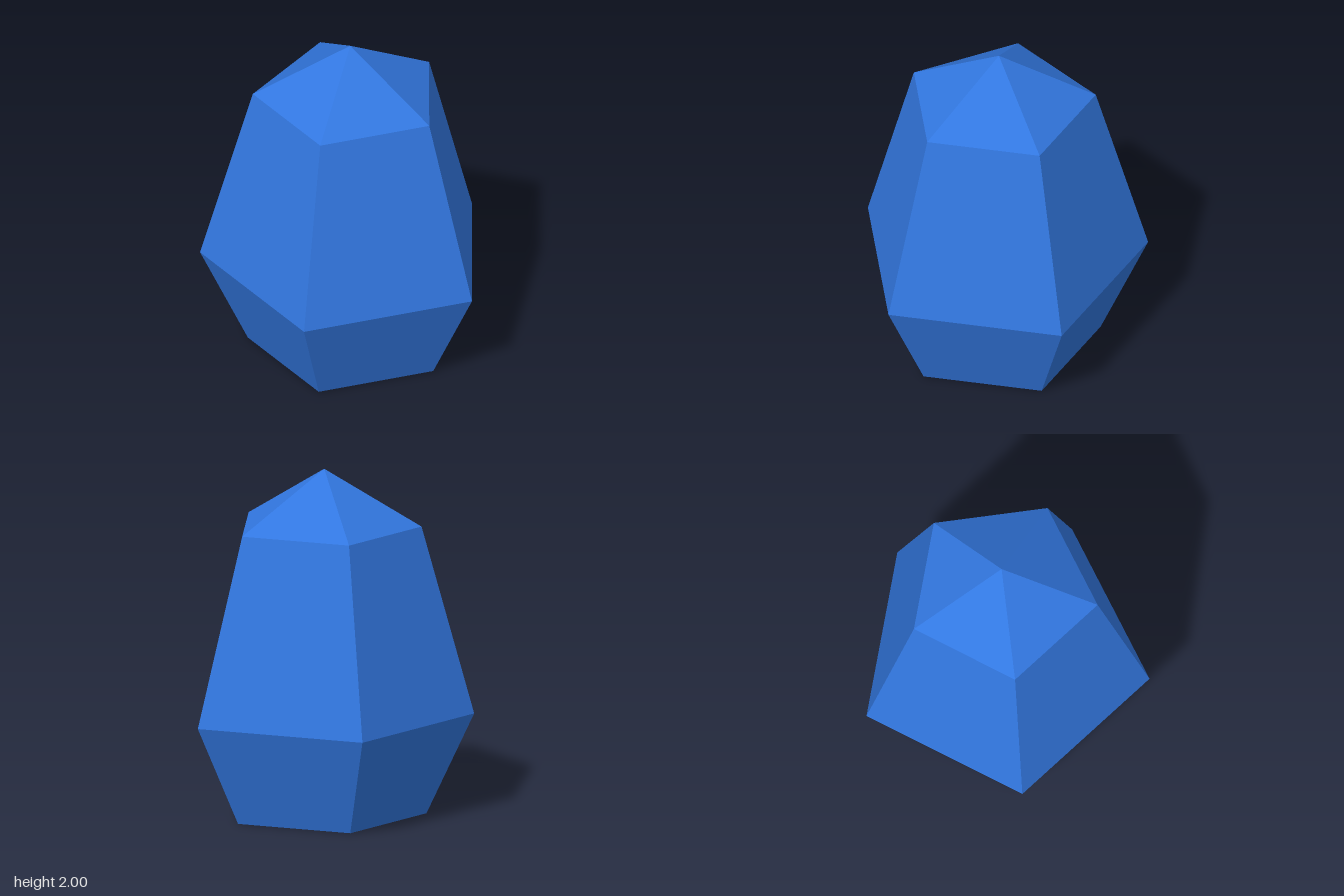
import * as THREE from 'three';

// Five-sided faceted gem: flat base, wide girdle, tapering body, pointed cap.
export function createModel() {
  const group = new THREE.Group();
  group.name = 'crystal';

  const crystalBlue = new THREE.MeshStandardMaterial({ color: 0x3277e0 });
  crystalBlue.name = 'crystalBlue';
  crystalBlue.flatShading = true;

  // Profile of radius and height, from base centre up to the tip
  const profile = [
    [0, 0],
    [0.583, 0],
    [0.855, 0.585],
    [0.555, 1.67],
    [0, 2],
  ].map(([r, y]) => new THREE.Vector2(r, y));

  // Turned in five steps, with one corner pointing to the back
  const geometry = new THREE.LatheGeometry(profile, 5, Math.PI).toNonIndexed();
  geometry.computeVertexNormals();

  const gem = new THREE.Mesh(geometry, crystalBlue);
  gem.name = 'gemBody';
  gem.position.z = 0.08; // centres the pentagon's bounds on z
  group.add(gem);

  return group;
}
